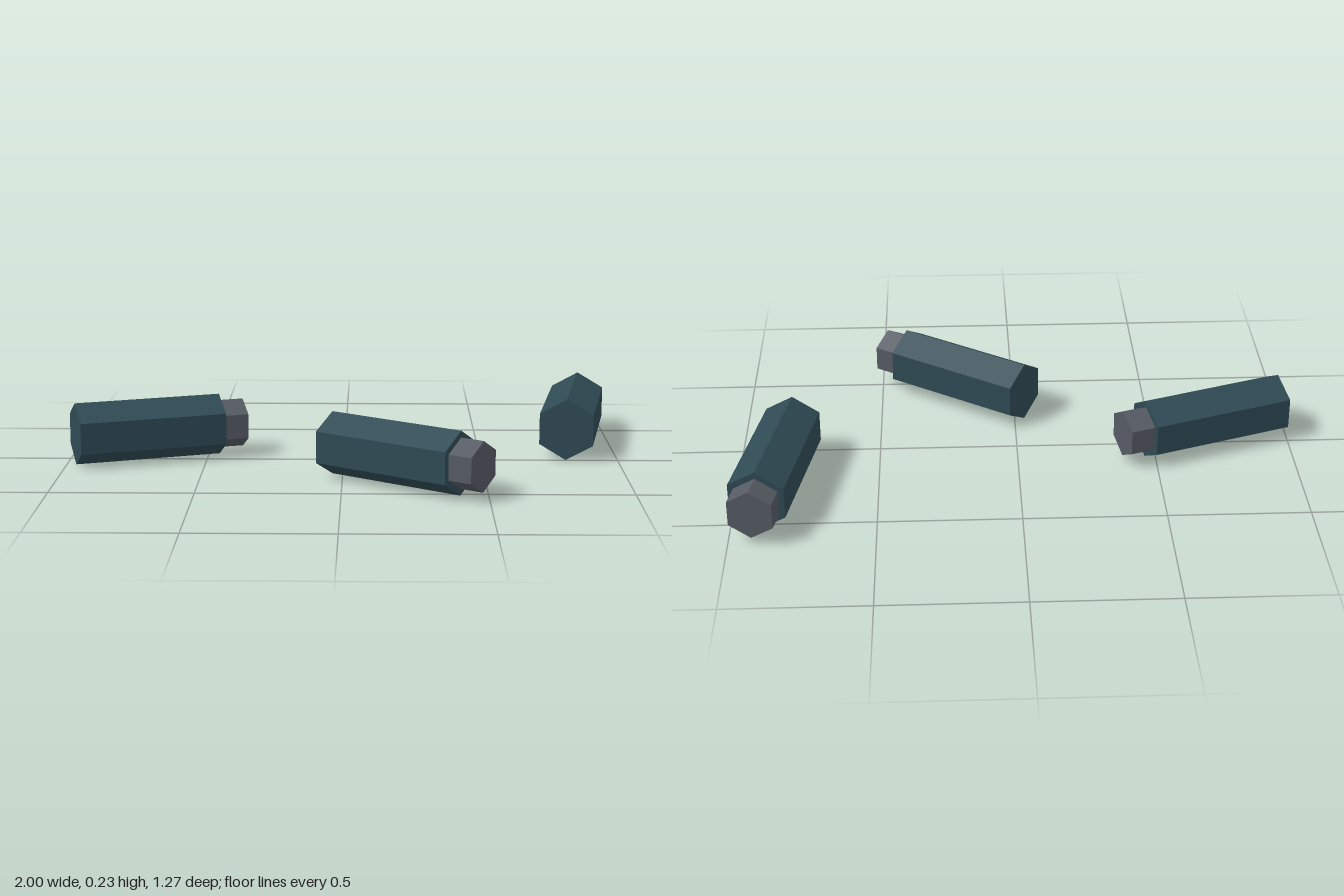
import * as THREE from 'three';

const RADIUS = 0.1127;

// Hexagonal bar lying along +x with an edge pointing up
function hexBar(name, radius, length, startX, material) {
  const geometry = new THREE.CylinderGeometry(radius, radius, length, 6, 1, false, Math.PI / 2);
  geometry.rotateZ(-Math.PI / 2);
  geometry.translate(startX + length / 2, 0, 0);
  const mesh = new THREE.Mesh(geometry, material);
  mesh.name = name;
  return mesh;
}

export function createModel() {
  const casing = new THREE.MeshStandardMaterial({ color: 0x2f4a54, flatShading: true });
  casing.name = 'dark teal';
  const metal = new THREE.MeshStandardMaterial({ color: 0x555a63, flatShading: true });
  metal.name = 'grey metal';

  const model = new THREE.Group();
  model.name = 'scatteredCartridges';

  // Centre of each tail end on the floor plan, and heading in degrees
  const layout = [
    ['leftwardCartridge', -0.966, 0.093, 20],
    ['middleCartridge', -0.036, 0.21, -35],
    ['rightwardCartridge', 0.811, -0.003, 80],
  ];
  for (const [name, x, z, degrees] of layout) {
    const cartridge = new THREE.Group();
    cartridge.name = name;
    cartridge.add(hexBar('body', RADIUS, 0.537, 0, casing));
    cartridge.add(hexBar('cap', 0.089, 0.09, 0.537, metal));
    cartridge.position.set(x, RADIUS, z);
    cartridge.rotation.y = THREE.MathUtils.degToRad(degrees);
    model.add(cartridge);
  }
  return model;
}
